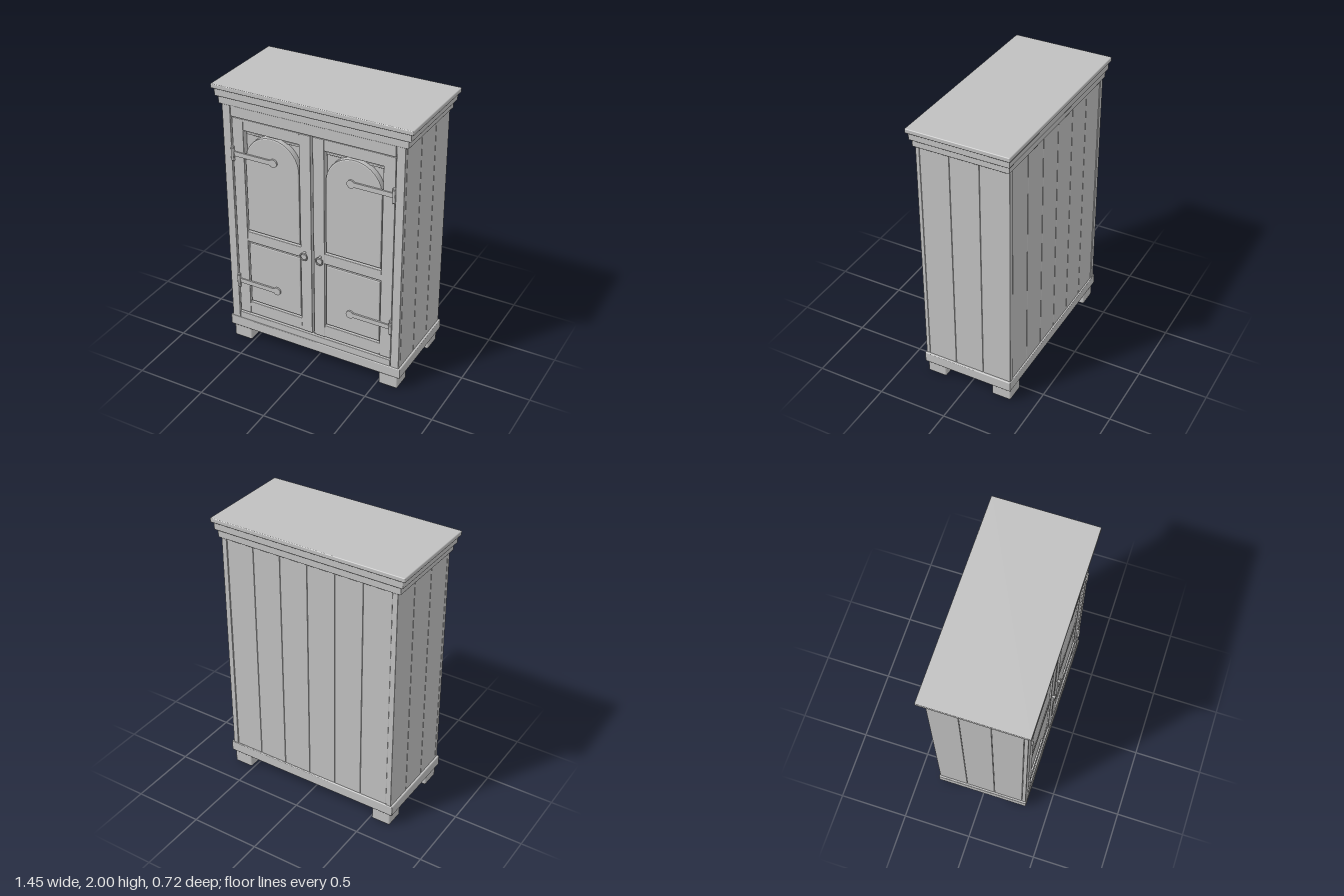
import * as THREE from 'three';
import { RoundedBoxGeometry } from 'three/addons/geometries/RoundedBoxGeometry.js';

const grey = new THREE.MeshStandardMaterial({ color: 0xc0c0c0 });
grey.name = 'plain grey';

function add(parent, name, geometry, x = 0, y = 0, z = 0) {
  const mesh = new THREE.Mesh(geometry, grey);
  mesh.name = name;
  mesh.position.set(x, y, z);
  parent.add(mesh);
  return mesh;
}

// Softly bevelled board given by its limits on each axis
function board(parent, name, [x0, x1], [y0, y1], [z0, z1], bevel = 0.004) {
  return add(parent, name, new RoundedBoxGeometry(x1 - x0, y1 - y0, z1 - z0, 1, bevel),
    (x0 + x1) / 2, (y0 + y1) / 2, (z0 + z1) / 2);
}

// Raised panel, with a round arch on top when arched
function panel(parent, name, x0, x1, y0, y1, arched) {
  const b = 0.01;
  const l = x0 + b, r = x1 - b, bottom = y0 + b, top = y1 - b;
  const radius = (r - l) / 2;
  const shape = new THREE.Shape();
  shape.moveTo(l, bottom);
  shape.lineTo(r, bottom);
  if (arched) {
    shape.lineTo(r, top - radius);
    shape.absarc((l + r) / 2, top - radius, radius, 0, Math.PI, false);
  } else {
    shape.lineTo(r, top);
    shape.lineTo(l, top);
  }
  shape.closePath();
  add(parent, name, new THREE.ExtrudeGeometry(shape, {
    depth: 0.03, bevelSize: b, bevelThickness: b, bevelSegments: 2, curveSegments: 20,
  }), 0, 0, 0.276);
}

// Strap hinge with a round tip, a post plate and a barrel
function hinge(parent, y) {
  const group = new THREE.Group();
  group.name = 'strapHinge';
  group.position.set(0, y, 0);
  const r = 0.029, w = 0.017, tip = 0.288;
  const a = Math.asin(w / r);
  const shape = new THREE.Shape();
  shape.moveTo(0.592, -w);
  shape.lineTo(0.592, w);
  shape.lineTo(tip + r * Math.cos(a), w);
  shape.absarc(tip, 0, r, a, Math.PI * 2 - a, false);
  shape.closePath();
  add(group, 'hingeStrap', new THREE.ExtrudeGeometry(shape, {
    depth: 0.012, bevelEnabled: false, curveSegments: 20,
  }), 0, 0, 0.318);
  board(group, 'hingePlate', [0.585, 0.607], [-0.055, 0.055], [0.316, 0.336], 0.003);
  add(group, 'hingeBarrel', new THREE.CylinderGeometry(0.009, 0.009, 0.09, 12), 0.596, 0, 0.336);
  parent.add(group);
}

// Door on the +x side; the other one is its mirror
function makeDoor() {
  const door = new THREE.Group();
  const z = [0.275, 0.322];
  board(door, 'outerStile', [0.513, 0.598], [0.237, 1.775], z);
  board(door, 'innerStile', [0.008, 0.092], [0.237, 1.775], z);
  for (const [y0, y1] of [[0.237, 0.335], [0.842, 0.922], [1.692, 1.775]]) {
    board(door, 'doorRail', [0.088, 0.517], [y0, y1], [0.275, 0.319]);
  }
  board(door, 'doorBacking', [0.02, 0.59], [0.24, 1.77], [0.255, 0.272]);
  board(door, 'backingStrip', [0.088, 0.517], [1.652, 1.67], [0.262, 0.282]);
  panel(door, 'lowerPanel', 0.098, 0.508, 0.345, 0.833, false);
  panel(door, 'archedPanel', 0.098, 0.508, 0.932, 1.68, true);
  for (const y of [0.5, 1.51]) hinge(door, y);
  // Ring pull
  add(door, 'pullRing', new THREE.TorusGeometry(0.026, 0.005, 8, 28), 0.06, 0.863, 0.339);
  add(door, 'pullStud', new THREE.CylinderGeometry(0.008, 0.01, 0.028, 12), 0.06, 0.889, 0.332)
    .rotation.x = Math.PI / 2;
  return door;
}

export function createModel() {
  const model = new THREE.Group();
  model.name = 'wardrobe';

  // Inner carcass that closes the gaps between boards
  add(model, 'carcass', new THREE.BoxGeometry(1.29, 1.72, 0.56), 0, 1.02, -0.03);

  // Stepped cornice and plinth
  const slabs = [
    ['corniceTop', 0.725, 1.968, 2.0, 0.362],
    ['corniceMiddle', 0.706, 1.914, 1.968, 0.35],
    ['corniceLower', 0.686, 1.86, 1.91, 0.338],
    ['plinth', 0.679, 0.1, 0.178, 0.336],
  ];
  for (const [name, x, y0, y1, z] of slabs) board(model, name, [-x, x], [y0, y1], [-z, z], 0.006);
  board(model, 'corniceCore', [-0.67, 0.67], [1.85, 1.97], [-0.325, 0.325]);

  // Front face frame
  const frameZ = [0.302, 0.33];
  board(model, 'topFrameRail', [-0.6, 0.6], [1.782, 1.865], frameZ);
  board(model, 'bottomFrameRail', [-0.6, 0.6], [0.17, 0.23], frameZ);

  for (const s of [-1, 1]) {
    const span = (a, b) => (s > 0 ? [a, b] : [-b, -a]);
    board(model, 'frontPost', span(0.603, 0.664), [0.17, 1.865], frameZ);
    // Side planks
    for (let i = 0; i < 3; i++) {
      board(model, 'sidePlank', span(0.625, 0.664), [0.17, 1.865],
        [-0.33 + i * 0.2107, -0.33 + (i + 1) * 0.2107 - 0.001]);
    }
    // Feet
    for (const [z0, z1] of [[0.183, 0.326], [-0.326, -0.183]]) {
      board(model, 'foot', span(0.515, 0.657), [0, 0.1], [z0, z1], 0.01);
    }
  }

  // Back planks
  const width = 1.25 / 6;
  for (let i = 0; i < 6; i++) {
    const x = -0.625 + i * width;
    board(model, 'backPlank', [x + 0.0005, x + width - 0.0005], [0.17, 1.865], [-0.325, -0.29]);
  }

  // Mirrored pair of doors
  for (const s of [-1, 1]) {
    const door = makeDoor();
    door.name = s > 0 ? 'leftDoor' : 'rightDoor';
    door.scale.x = s;
    model.add(door);
  }
  return model;
}
